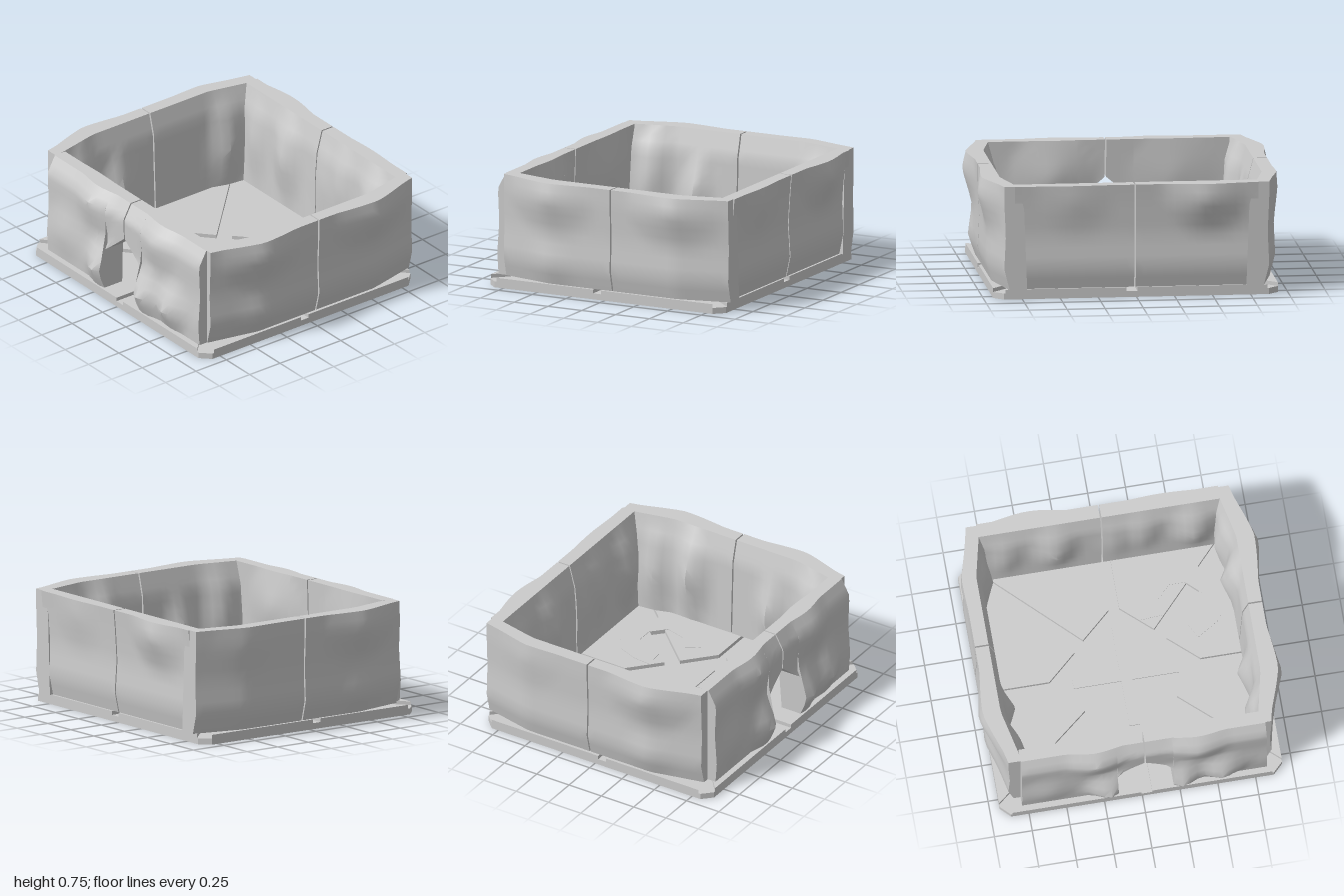
import * as THREE from 'three';
import { toCreasedNormals } from 'three/addons/utils/BufferGeometryUtils.js';

const grey = new THREE.MeshStandardMaterial({ color: 0xcccccc });
const FLOOR = 0.065, TOP = 0.75;
const ROWS = [0, 0.1, 0.2, 0.3, 0.4, 0.5, 0.6, 0.7, 0.78, 0.85, 0.92, 1];

// Piecewise linear curve through [t, value] points
function curve(points, t) {
  if (t <= points[0][0]) return points[0][1];
  for (let i = 1; i < points.length; i++) {
    const [a, va] = points[i - 1], [b, vb] = points[i];
    if (t <= b) return va + (vb - va) * (t - a) / (b - a);
  }
  return points[points.length - 1][1];
}

// Tent-shaped rock bulges: [along, height, size, reachAlong, reachUp]
function bulge(list, u, y) {
  let best = 0;
  for (const [bu, by, h, ru, ry] of list) {
    best = Math.max(best, h * (1 - Math.hypot((u - bu) / ru, (y - by) / ry)));
  }
  return best;
}

// Flat plate cut from a plan outline of [x, z] points
function plate(name, outline, y0, y1) {
  const shape = new THREE.Shape(outline.map(([x, z]) => new THREE.Vector2(x, -z)));
  const geo = new THREE.ExtrudeGeometry(shape, { depth: y1 - y0, bevelEnabled: false });
  geo.rotateX(-Math.PI / 2).translate(0, y0, 0);
  const mesh = new THREE.Mesh(geo, grey);
  mesh.name = name;
  return mesh;
}

// Columns [position, bottom height] between two ends
function columns(a, b, bottom = FLOOR) {
  const n = Math.max(2, Math.round((b - a) / 0.05));
  return Array.from({ length: n + 1 }, (_, i) => [a + (b - a) * i / n, bottom]);
}

// Wall panel lofted from closed cross-sections, one for each column
function wallPanel(name, cols, wall) {
  const pos = [], n = ROWS.length;
  const place = (u, y, d) => wall.side
    ? new THREE.Vector3(wall.sign * d, y, u) : new THREE.Vector3(u, y, wall.sign * d);
  const flip = wall.side ? wall.sign > 0 : wall.sign < 0;
  const tri = (a, b, c) => (flip ? [a, c, b] : [a, b, c]).forEach(p => pos.push(p.x, p.y, p.z));
  const quad = (a, b, c, d) => { tri(a, b, c); tri(a, c, d); };
  const rings = cols.map(([u, bottom]) => {
    const ys = ROWS.map(f => Math.max(bottom, bottom + (TOP - bottom) * f));
    const out = ys.map(y => place(u, y, wall.outer(u, y)));
    const inn = ys.map(y => place(u, y, wall.inner(u, y)));
    return [...out, ...inn.reverse()];
  });
  for (let i = 0; i + 1 < rings.length; i++) {
    const r = rings[i], s = rings[i + 1];
    for (let k = 0; k < 2 * n; k++) {
      const m = (k + 1) % (2 * n);
      quad(r[k], s[k], s[m], r[m]);
    }
  }
  const first = rings[0], last = rings[rings.length - 1];
  for (let k = 0; k < n - 1; k++) {
    const j = 2 * n - 1 - k;
    quad(first[j], first[k], first[k + 1], first[j - 1]);
    quad(last[k], last[j], last[j - 1], last[k + 1]);
  }
  let geo = new THREE.BufferGeometry();
  geo.setAttribute('position', new THREE.Float32BufferAttribute(pos, 3));
  geo = toCreasedNormals(geo, 0.65);
  const mesh = new THREE.Mesh(geo, grey);
  mesh.name = name;
  return mesh;
}

// Side walls bow outward in the middle
const bow = [[-0.88, 0.87], [-0.53, 0.95], [0.42, 0.95], [0.78, 0.87]];
const sideOut = [[0.065, -0.035], [0.2, 0], [0.42, -0.01], [0.64, 0], [0.75, 0]];
const sideIn = [[0.065, -0.15], [0.6, -0.13], [0.75, -0.09]];
function sideWall(sign, outBumps, inBumps) {
  return {
    side: true, sign,
    outer: (u, y) => curve(bow, u) + curve(sideOut, y) + bulge(outBumps, u, y),
    inner: (u, y) => curve(bow, u) + curve(sideIn, y) - bulge(inBumps, u, y),
  };
}
function endWall(sign, outProfile, inProfile, outBumps, inBumps) {
  return {
    side: false, sign,
    outer: (u, y) => curve(outProfile, y) + bulge(outBumps, u, y),
    inner: (u, y) => curve(inProfile, y) - bulge(inBumps, u, y),
  };
}

export function createModel() {
  const model = new THREE.Group();
  model.name = 'roofless stone room';

  // Base slab with chamfered corners
  const X = 0.935, ZB = -0.865, ZF = 0.88, GROOVE = 0.04;
  model.add(plate('baseSlab', [
    [-0.87, ZF], [0.87, ZF], [X, 0.815], [X, -0.8],
    [0.87, ZB], [-0.87, ZB], [-X, -0.8], [-X, 0.815],
  ], 0, GROOVE));

  // Eight raised floor tiles separated by straight and diagonal channels
  const cx = 0.03, cz = 0.055;
  for (const sx of [-1, 1]) for (const sz of [-1, 1]) {
    const at = (x, z) => [cx + sx * x, cz + sz * z];
    const zEdge = sz > 0 ? ZF : ZB;
    model.add(plate('floorTile', [
      at(0.035, 0.46), at(0.235, 0.28), [sx * 0.86, zEdge], [cx + sx * 0.035, zEdge],
    ], GROOVE, FLOOR));
    model.add(plate('floorTile', [
      at(0.305, 0.205), at(0.5, 0.03), [sx * X, cz + sz * 0.03], [sx * X, sz * 0.8],
    ], GROOVE, FLOOR));
  }

  // Low cross in the sunken centre
  const a = 0.035, b = 0.35;
  model.add(plate('centreCross', [
    [-a, -b], [a, -b], [a, -a], [b, -a], [b, a], [a, a],
    [a, b], [-a, b], [-a, a], [-b, a], [-b, -a], [-a, -a],
  ].map(([x, z]) => [x + cx, z + cz]), GROOVE, 0.048));

  // Hooked inlay in the back corner of the floor
  model.add(plate('hookedInlay', [
    [0.19, -0.3], [0.2, -0.42], [0.25, -0.55], [0.35, -0.62], [0.55, -0.645], [0.7, -0.55],
    [0.745, -0.38], [0.7, -0.22], [0.54, -0.12], [0.48, -0.23], [0.58, -0.29], [0.615, -0.42],
    [0.52, -0.51], [0.41, -0.51], [0.325, -0.42], [0.33, -0.31],
  ], GROOVE, FLOOR + 0.003));

  // Left and right walls, two panels each
  const inBumps = [[-0.62, 0.35, 0.06, 0.14, 0.35], [0.25, 0.3, 0.08, 0.12, 0.3],
    [0.56, 0.4, 0.06, 0.13, 0.35]];
  const outBumps = [[0.41, 0.64, 0.055, 0.33, 0.22], [0.41, 0.2, 0.015, 0.2, 0.15]];
  const walls = {
    rightWall: sideWall(-1, [...outBumps, [-0.52, 0.64, 0.015, 0.25, 0.22]], inBumps),
    leftWall: sideWall(1, [...outBumps, [-0.5, 0.64, 0.055, 0.35, 0.22]],
      [...inBumps, [-0.36, 0.4, 0.09, 0.14, 0.35]]),
  };
  for (const [name, wall] of Object.entries(walls)) {
    model.add(wallPanel(name + 'Back', columns(-0.88, -0.055), wall));
    model.add(wallPanel(name + 'Front', columns(-0.045, 0.78), wall));
  }

  // Back wall, two panels
  const back = endWall(-1,
    [[0.065, 0.85], [0.2, 0.88], [0.42, 0.865], [0.64, 0.88], [0.75, 0.89]],
    [[0.065, 0.74], [0.6, 0.76], [0.75, 0.8]],
    [[-0.45, 0.64, 0.065, 0.28, 0.22], [0.42, 0.64, 0.02, 0.25, 0.22]],
    [[-0.63, 0.4, 0.04, 0.12, 0.3], [-0.3, 0.42, 0.07, 0.16, 0.32], [0.1, 0.4, 0.03, 0.12, 0.3],
      [0.28, 0.45, 0.04, 0.13, 0.3], [0.62, 0.42, 0.08, 0.16, 0.32]]);
  model.add(wallPanel('backWallRight', columns(-0.8, 0.005), back));
  model.add(wallPanel('backWallLeft', columns(0.015, 0.8), back));

  // Front wall, two panels meeting over a pointed doorway
  const front = endWall(1,
    [[0.065, 0.84], [0.2, 0.85], [0.42, 0.835], [0.64, 0.845], [0.75, 0.785]],
    [[0.065, 0.715], [0.4, 0.71], [0.75, 0.7]],
    [[-0.22, 0.2, 0.09, 0.16, 0.2], [0.27, 0.2, 0.09, 0.16, 0.2], [0.53, 0.22, 0.08, 0.18, 0.18],
      [-0.3, 0.64, 0.045, 0.2, 0.25], [0.38, 0.62, 0.045, 0.2, 0.25],
      [-0.6, 0.3, 0.025, 0.18, 0.2]],
    [[0.38, 0.5, 0.06, 0.3, 0.3], [-0.42, 0.5, 0.03, 0.3, 0.3]]);
  const arch = u => 0.505 - Math.abs(u - 0.025) * 0.84;
  const over = (p, q) => columns(p, q).map(([u]) => [u, arch(u)]);
  model.add(wallPanel('frontWallRight', [...columns(-0.79, -0.16), ...over(-0.16, 0.02)], front));
  model.add(wallPanel('frontWallLeft', [...over(0.03, 0.21), ...columns(0.21, 0.83)], front));
  return model;
}
